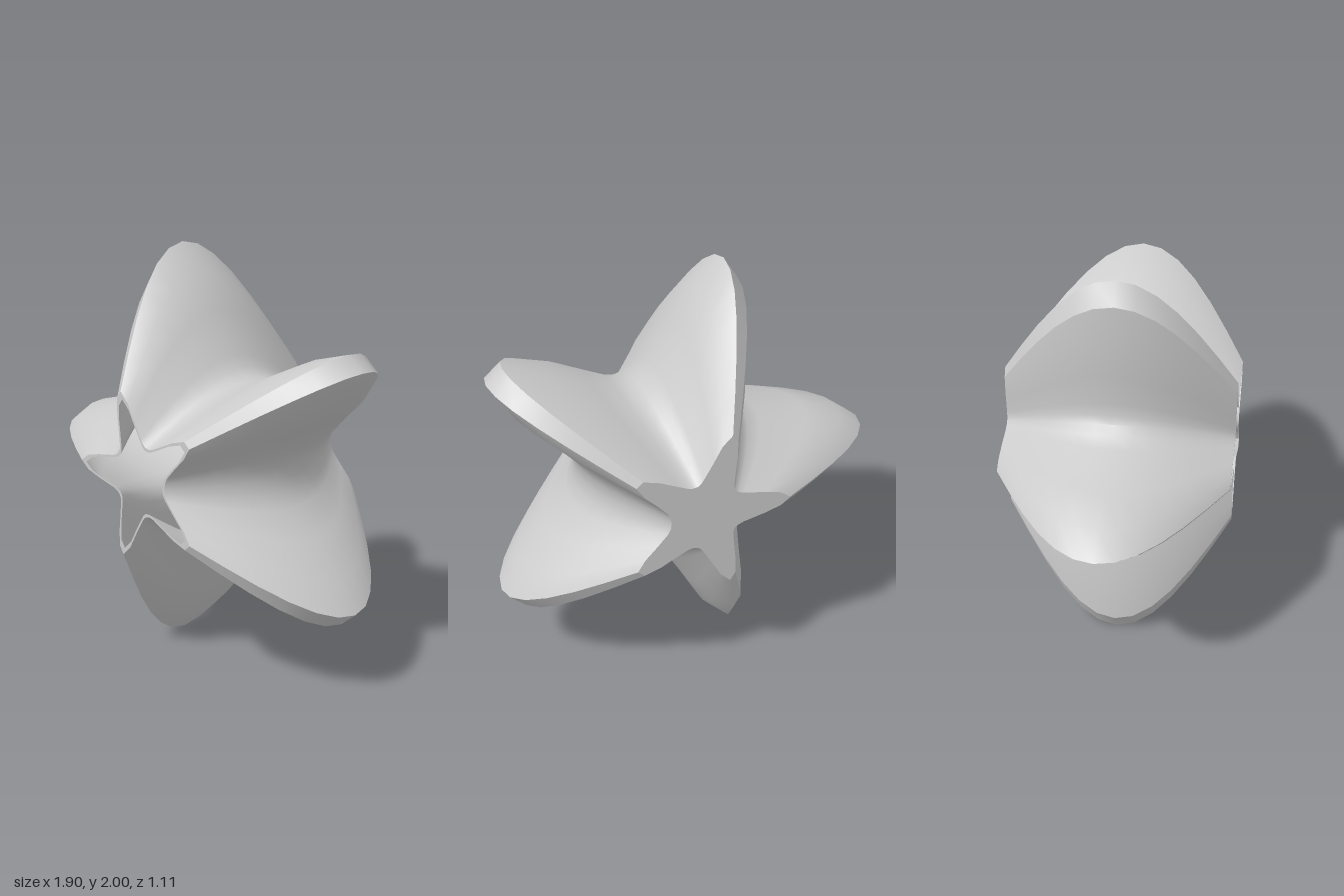
import * as THREE from 'three';
import { toCreasedNormals } from 'three/addons/utils/BufferGeometryUtils.js';

const CX = 0.1, CY = 1, HALF = 0.555, WALL = 0.035, FLOOR = -HALF + WALL;

// Upper half of the star outline at the widest section, from left tip to right valley (y from the axis)
const half = [
  [-0.95, 0], [-0.83, 0.09], [-0.63, 0.145], [-0.36, 0.2], [-0.29, 0.228], [-0.25, 0.265],
  [-0.235, 0.305], [-0.235, 0.37], [-0.25, 0.53], [-0.27, 0.71], [-0.27, 0.9], [-0.205, 1],
  [-0.08, 0.88], [0.02, 0.7], [0.14, 0.5], [0.175, 0.45], [0.215, 0.42], [0.27, 0.41],
  [0.33, 0.42], [0.45, 0.475], [0.67, 0.58], [0.87, 0.64], [0.95, 0.57], [0.86, 0.43],
  [0.7, 0.27], [0.58, 0.14], [0.545, 0.07], [0.535, 0],
];
// Mirror it and run counter-clockwise, relative to the star's centre
const lower = half.slice(1, -1).map(([x, y]) => [x, -y]);
const star = [...lower, ...half.slice().reverse()].map(([x, y]) => new THREE.Vector2(x - CX, y));
// lower runs left to right, then the upper half returns right to left

// The section swells from both ends to the middle
const swell = (z) => 0.4 + 0.6 * Math.cos((Math.PI / 2) * z / HALF);
const section = (scale) => star.map((p) => p.clone().multiplyScalar(scale));

// Skin through scaled star sections between two depths
function skin(z0, z1, steps, inset, inward) {
  const pos = [], index = [], n = star.length;
  for (let i = 0; i <= steps; i++) {
    const z = z0 + (z1 - z0) * i / steps;
    for (const p of section(swell(z) - inset)) pos.push(p.x, p.y, z);
  }
  for (let i = 0; i < steps; i++) {
    for (let j = 0; j < n; j++) {
      const a = i * n + j, b = i * n + (j + 1) % n, c = b + n, d = a + n;
      if (inward) index.push(a, c, b, a, d, c);
      else index.push(a, b, c, a, c, d);
    }
  }
  const g = new THREE.BufferGeometry();
  g.setAttribute('position', new THREE.Float32BufferAttribute(pos, 3));
  g.setIndex(index);
  return toCreasedNormals(g, 0.5);
}

export function createModel() {
  const group = new THREE.Group();
  group.name = 'starVase';
  const material = new THREE.MeshStandardMaterial({ color: 0xcccccc });
  const add = (name, geometry, z = 0) => {
    const mesh = new THREE.Mesh(geometry, material);
    mesh.name = name;
    mesh.position.set(CX, CY, z);
    group.add(mesh);
    return mesh;
  };

  add('outerWall', skin(-HALF, HALF, 12, 0, false));
  add('innerWall', skin(FLOOR, HALF, 12, WALL, true));

  // Flat lip around the opening
  const lip = new THREE.Shape(section(swell(HALF)));
  lip.holes.push(new THREE.Path(section(swell(HALF) - WALL)));
  add('rim', new THREE.ShapeGeometry(lip), HALF);

  // Closed end, inside and outside
  add('innerFloor', new THREE.ShapeGeometry(new THREE.Shape(section(swell(FLOOR) - WALL))), FLOOR);
  const base = new THREE.ShapeGeometry(new THREE.Shape(section(swell(HALF)).map((p) => p.set(p.x, -p.y))));
  add('base', base, -HALF).rotation.x = Math.PI;

  return group;
}
